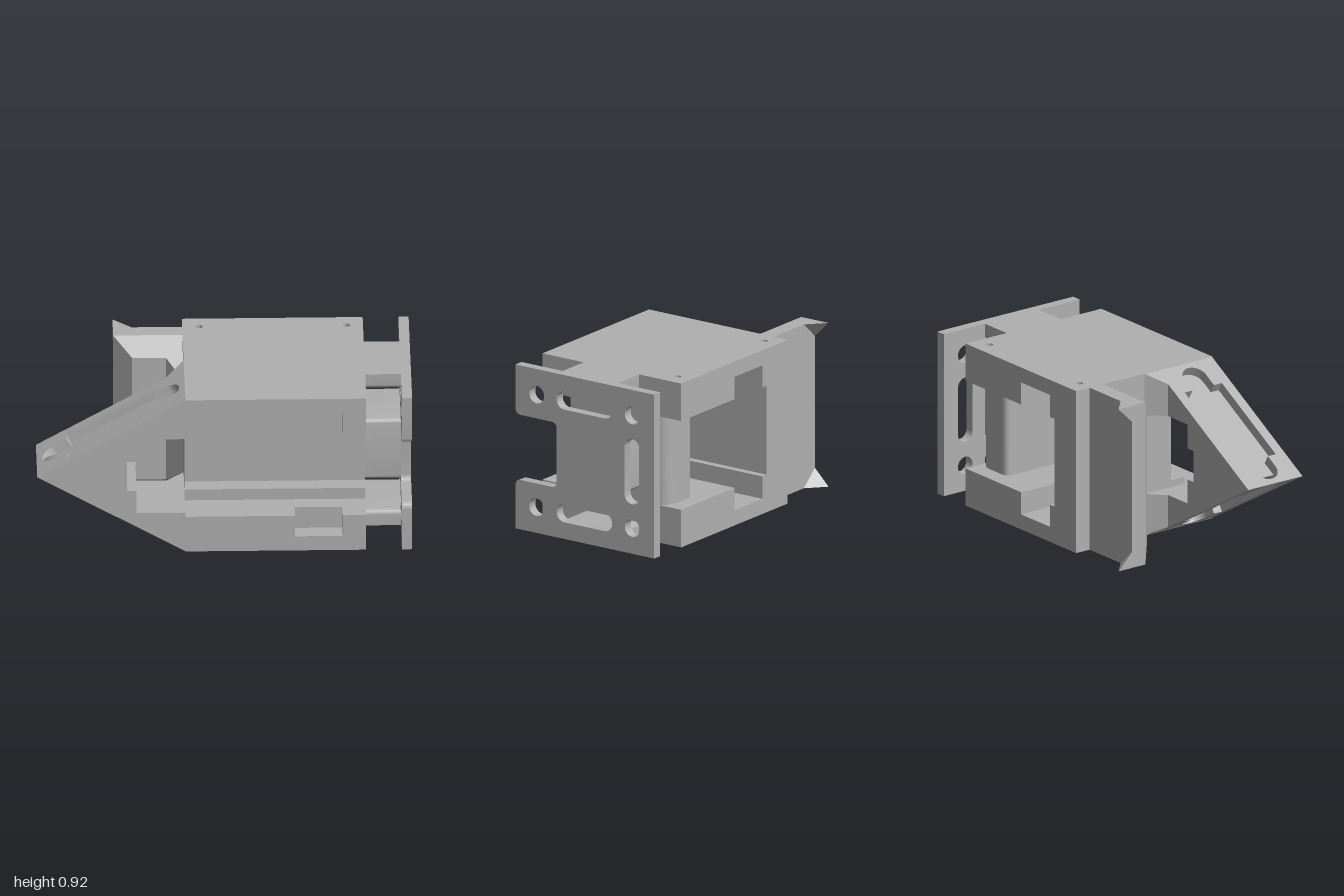
import * as THREE from 'three';
import { toCreasedNormals } from 'three/addons/utils/BufferGeometryUtils.js';
import { ConvexGeometry } from 'three/addons/geometries/ConvexGeometry.js';

const H = 0.916, MID = H / 2;
const C30 = Math.cos(Math.PI / 6), S30 = 0.5, TAN = S30 / C30;

// Closed shape from [x, y, cornerRadius] points
function roundPoly(pts) {
  const s = new THREE.Shape();
  pts.forEach(([x, y, r = 0], i) => {
    const p = new THREE.Vector2(x, y);
    const towards = (q) => p.clone().add(new THREE.Vector2(q[0] - x, q[1] - y).setLength(r));
    const a = towards(pts[(i + pts.length - 1) % pts.length]);
    const b = towards(pts[(i + 1) % pts.length]);
    if (i === 0) s.moveTo(a.x, a.y); else s.lineTo(a.x, a.y);
    if (r) s.quadraticCurveTo(x, y, b.x, b.y);
  });
  s.closePath();
  return s;
}

const rect = (x0, x1, y0, y1) => [[x0, y0], [x1, y0], [x1, y1], [x0, y1]];

// Slot with rounded ends along its longer side; a circle when square
function slot(x0, x1, y0, y1) {
  const p = new THREE.Path(), w = x1 - x0, h = y1 - y0, r = Math.min(w, h) / 2;
  if (w >= h) {
    p.absarc(x1 - r, y0 + r, r, -Math.PI / 2, Math.PI / 2);
    p.absarc(x0 + r, y0 + r, r, Math.PI / 2, Math.PI * 1.5);
  } else {
    p.absarc(x0 + r, y1 - r, r, 0, Math.PI);
    p.absarc(x0 + r, y0 + r, r, Math.PI, Math.PI * 2);
  }
  p.closePath();
  return p;
}

const extrude = (shape, depth) =>
  new THREE.ExtrudeGeometry(shape, { depth, bevelEnabled: false, curveSegments: 12 });
const alongZ = (shape, a, b) => extrude(shape, b - a).translate(0, 0, a);
// Shape in (-z, y), extruded over x
const alongX = (shape, a, b) => extrude(shape, b - a).rotateY(Math.PI / 2).translate(a, 0, 0);
// Shape in (x, -z), extruded over y
const alongY = (shape, a, b) => extrude(shape, b - a).rotateX(-Math.PI / 2).translate(0, a, 0);
// Complete a lower outline with its reflection about mid height
const mirrored = (half, shared = 1) =>
  [...half, ...half.slice(shared).reverse().map(([x, y, r]) => [x, H - y, r])];

export function createModel() {
  const model = new THREE.Group();
  model.name = 'servoBracket';
  const grey = new THREE.MeshStandardMaterial({ color: 0xb0b0b0 });
  grey.name = 'grey plastic';
  const add = (name, geo) => {
    const m = new THREE.Mesh(toCreasedNormals(geo, 0.6), grey);
    m.name = name;
    model.add(m);
    return m;
  };
  const convex = (name, pts) => add(name, new ConvexGeometry(pts.map((p) => new THREE.Vector3(...p))));

  // Rear bay: C-shaped walls open at the back and at the plate end
  add('rearBay', alongZ(roundPoly(mirrored([
    [-0.21, 0.07], [0.755, 0.07], [0.755, 0.21], [0.27, 0.21], [0.27, 0.085],
    [0.02, 0.085], [0.02, 0.21], [-0.02, 0.21],
  ], 0)), -0.46, 0.1));

  // Outer skins of the rear bay with screw holes
  for (const y of [0, H - 0.07]) {
    const skin = roundPoly(rect(-0.21, 0.755, -0.1, 0.46));
    for (const x of [-0.12, 0.665]) skin.holes.push(slot(x - 0.02, x + 0.02, 0.35, 0.39));
    add(y ? 'topSkin' : 'bottomSkin', alongY(skin, y, y + 0.07));
  }

  // Rounded post in the rear bay
  add('post', alongY(roundPoly([
    [0.52, -0.1], [0.755, -0.1], [0.755, 0.365, 0.095], [0.52, 0.365, 0.04],
  ]), 0.21, 0.706));

  // Wall between the two bays
  add('dividingWall', alongZ(roundPoly(rect(-0.21, 0.755, 0, H)), 0.1, 0.18));

  // Front bay and nose core, stepped in depth
  const noseHeight = 0.68 * TAN;
  const noseWindow = [[-0.21, 0.235], [-0.47, 0.235], [-0.47, 0.37], [-0.52, 0.37]];
  const frontLayer = (edge, notch) => roundPoly(mirrored([
    [-0.89, MID], [-0.21, MID - noseHeight], [-0.21, 0], [0.755, 0], [0.755, edge],
    ...(notch ? [[0.63, edge], [0.63, 0.085], [0.375, 0.085], [0.375, edge]] : []),
    [-0.21, edge], ...noseWindow,
  ]));
  add('noseBack', alongZ(roundPoly(mirrored([
    [-0.89, MID], [-0.21, MID - noseHeight], ...noseWindow,
  ])), 0.09, 0.18));
  add('frontBayLedge', alongZ(frontLayer(0.275, false), 0.18, 0.27));
  add('frontBay', alongZ(frontLayer(0.21, false), 0.27, 0.36));
  add('frontBayRim', alongZ(frontLayer(0.21, true), 0.36, 0.455));

  // Sloping nose covers with a cable-tie shaped pocket
  const depth = 0.055, len = 0.79 / C30, meet = depth / TAN;
  const cover = roundPoly([
    [0, 0.09], [meet, 0.09], [len, 0.09], [len, 0.455], [meet, 0.455], [0, 0.455],
  ]);
  const pocket = new THREE.Path(), r = 0.0725, zc = 0.2725;
  pocket.moveTo(0.185, 0.2);
  pocket.lineTo(0.185, 0.147);
  pocket.lineTo(0.727, 0.147);
  pocket.lineTo(0.727, 0.2);
  pocket.absarc(0.878 - r, zc, r, -Math.PI / 2, Math.PI / 2);
  pocket.lineTo(0.727, 0.345);
  pocket.lineTo(0.727, 0.398);
  pocket.lineTo(0.185, 0.398);
  pocket.lineTo(0.185, 0.345);
  pocket.absarc(0.035 + r, zc, r, Math.PI / 2, Math.PI * 1.5);
  pocket.closePath();
  cover.holes.push(pocket);
  const coverGeo = extrude(cover, depth).applyMatrix4(new THREE.Matrix4().makeBasis(
    new THREE.Vector3(C30, S30, 0), new THREE.Vector3(0, 0, 1), new THREE.Vector3(S30, -C30, 0),
  ).setPosition(-1, MID, 0));
  // Trim the inner side where both covers meet at the tip
  const pos = coverGeo.attributes.position;
  for (let i = 0; i < pos.count; i++) {
    const over = MID - pos.getY(i);
    if (over > 0) pos.setXYZ(i, pos.getX(i) - over * TAN, MID, pos.getZ(i));
  }
  add('noseCoverTop', coverGeo);
  const lower = add('noseCoverBottom', coverGeo);
  lower.rotation.x = Math.PI;
  lower.position.set(0, H, 2 * zc);

  // Gussets joining nose and body
  const slopeY = (x) => MID + (x + 1) * TAN;
  for (const f of [(y) => y, (y) => H - y]) {
    const pts = [];
    for (const [x, z] of [[-0.3, 0.09], [-0.21, 0.09], [-0.21, 0]]) {
      pts.push([x, f(0.681), z], [x, f(slopeY(x)), z]);
    }
    convex('noseGusset', pts);
  }

  // Side wing with bevelled front, gusset and corner spikes
  const section = (x0, x1, inset, z) => rect(x0, x1, inset, H - inset).map(([x, y]) => [x, y, z]);
  convex('wing', [...section(-0.58, -0.21, 0, -0.37), ...section(-0.58, -0.21, 0, -0.28),
    ...section(-0.48, -0.21, 0.09, -0.19)]);
  convex('wingGusset', [...section(-0.3, -0.21, 0.09, -0.19),
    [-0.21, 0.18, -0.1], [-0.21, H - 0.18, -0.1]]);
  for (const f of [(y) => y, (y) => H - y]) {
    convex('wingSpike', [[-0.58, f(0), -0.46], [-0.58, f(0), -0.37],
      [-0.48, f(0), -0.37], [-0.58, f(0.09), -0.37]]);
  }

  // Necks carrying the mounting plate
  add('centreNeck', alongX(roundPoly(
    rect(-0.183, 0.183, 0.276, 0.64).map((p) => [...p, 0.03])), 0.755, 0.945));
  add('topNeck', alongX(roundPoly([
    [-0.183, 0.826, 0.03], [0.183, 0.826, 0.03], [0.183, H], [-0.183, H]]), 0.755, 0.945));
  add('bottomNeck', alongX(roundPoly([
    [-0.183, 0], [0.183, 0], [0.183, 0.09, 0.03], [-0.183, 0.09, 0.03]]), 0.755, 0.945));

  // Mounting plate with notch, slots and bolt holes
  const plate = roundPoly([
    [-0.455, 0], [0.46, 0], [0.46, H], [-0.455, H],
    [-0.455, 0.64, 0.036], [-0.183, 0.64, 0.036], [-0.183, 0.276, 0.036], [-0.455, 0.276, 0.036],
  ]);
  for (const y of [0.143, 0.773]) {
    for (const x of [-0.315, 0.315]) plate.holes.push(slot(x - 0.049, x + 0.049, y - 0.049, y + 0.049));
    plate.holes.push(slot(-0.183, 0.183, y - 0.05, y + 0.05));
  }
  plate.holes.push(slot(0.265, 0.364, 0.276, 0.64));
  add('mountingPlate', alongX(plate, 0.945, 1));

  return model;
}
